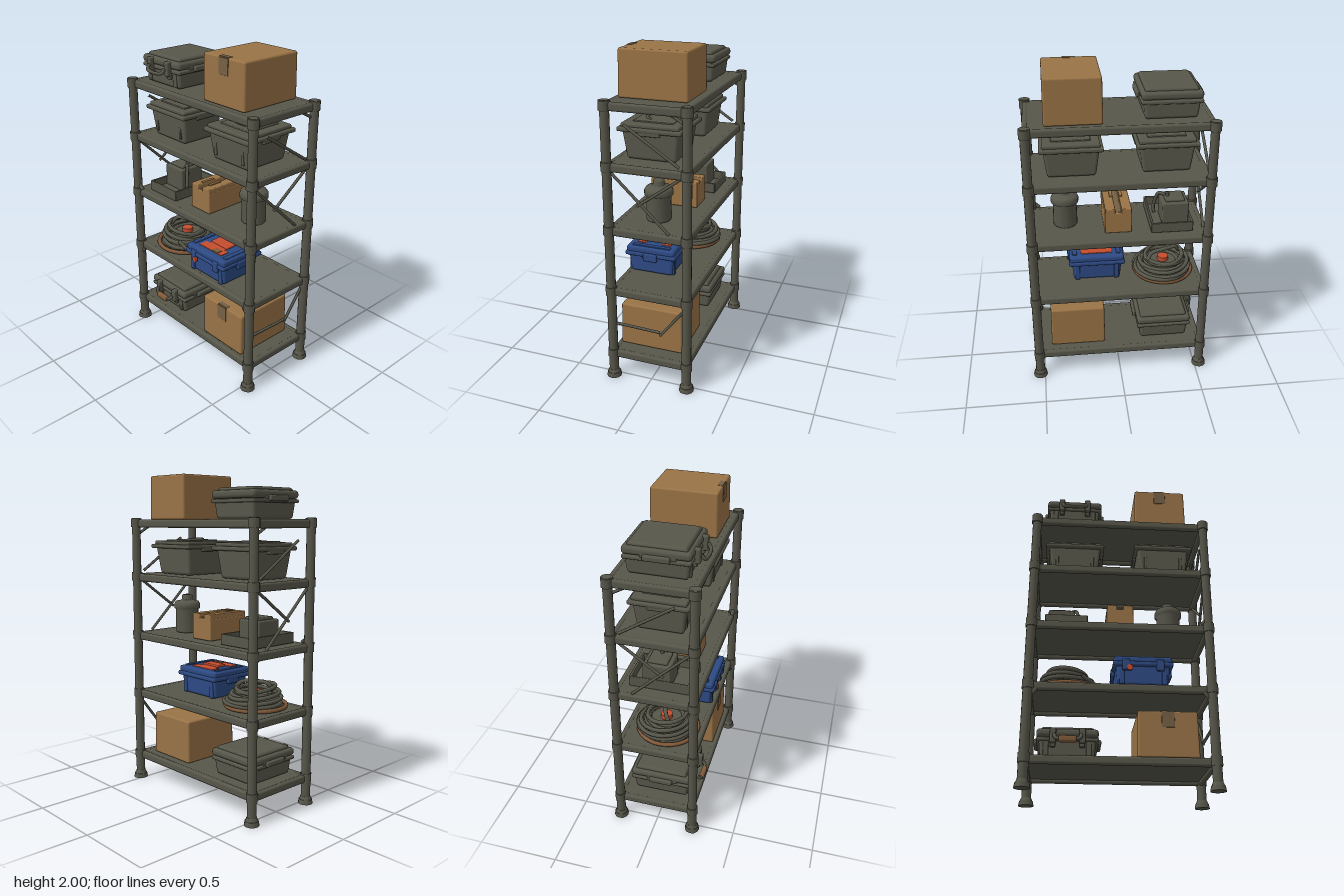
import * as THREE from 'three';
import { RoundedBoxGeometry } from 'three/addons/geometries/RoundedBoxGeometry.js';

const mat = (name, color) => Object.assign(new THREE.MeshStandardMaterial({ color }), { name });

export function createModel() {
  const olive = mat('olive grey', 0x57564a);
  const card = mat('cardboard', 0x997346);
  const tape = mat('packing tape', 0x756044);
  const blue = mat('toolbox blue', 0x2d4a84);
  const orange = mat('orange', 0xc44d2e);
  const brown = mat('brown', 0x80593a);

  const model = new THREE.Group();
  model.name = 'storageRack';

  const group = (name, x, y, z, parent = model) => {
    const g = new THREE.Group();
    g.name = name;
    g.position.set(x, y, z);
    parent.add(g);
    return g;
  };
  const add = (parent, name, geo, material, x = 0, y = 0, z = 0) => {
    const m = new THREE.Mesh(geo, material);
    m.name = name;
    m.position.set(x, y, z);
    parent.add(m);
    return m;
  };
  // Box given by its base height; taper scales the bottom against the top
  const block = (parent, name, material, w, h, d, x, y, z, r = 0.008, taper = 1) => {
    const geo = new RoundedBoxGeometry(w, h, d, 2, Math.min(r, h / 2.1, w / 2.1, d / 2.1));
    const p = geo.attributes.position;
    for (let i = 0; i < p.count; i++) {
      const s = THREE.MathUtils.lerp(taper, 1, p.getY(i) / h + 0.5);
      p.setX(i, p.getX(i) * s);
      p.setZ(i, p.getZ(i) * s);
    }
    return add(parent, name, geo, material, x, y + h / 2, z);
  };
  const drum = (parent, name, material, rTop, rBot, h, x, y, z, n = 16) =>
    add(parent, name, new THREE.CylinderGeometry(rTop, rBot, h, n), material, x, y + h / 2, z);
  const tube = (parent, name, material, r, pts, closed = false) => {
    const curve = new THREE.CatmullRomCurve3(pts.map(p => new THREE.Vector3(...p)), closed, 'centripetal');
    return add(parent, name, new THREE.TubeGeometry(curve, pts.length > 2 ? pts.length * 6 : 1, r, 7, closed), material);
  };

  // Posts, feet and corner sleeves
  const tops = [0.185, 0.61, 1.0, 1.385, 1.73];
  const X = 0.53, Z = 0.237;
  for (const sx of [-1, 1]) for (const sz of [-1, 1]) {
    const post = group('post', sx * X, 0, sz * Z);
    drum(post, 'upright', olive, 0.027, 0.029, 1.74, 0, 0, 0, 12);
    drum(post, 'foot', olive, 0.041, 0.046, 0.028, 0, 0, 0, 12);
    drum(post, 'ankle', olive, 0.03, 0.038, 0.02, 0, 0.028, 0, 12);
    for (const y of tops) drum(post, 'sleeve', olive, 0.034, 0.034, 0.055, 0, y - 0.047, 0, 10);
  }

  // Shelves with rounded rails on all four edges
  for (const y of tops) {
    const shelf = group('shelf', 0, y, 0);
    block(shelf, 'deck', olive, 1.07, 0.026, 0.47, 0, -0.029, 0, 0.004);
    for (const s of [-1, 1]) {
      block(shelf, 'longRail', olive, 1.04, 0.05, 0.034, 0, -0.05, s * 0.228, 0.014);
      block(shelf, 'endRail', olive, 0.034, 0.05, 0.45, s * 0.527, -0.05, 0, 0.014);
    }
  }

  // Thin braces on the ends
  for (const s of [-1, 1]) {
    const braces = group('endBraces', s * 0.525, 0, 0);
    const rods = [
      [[0, 1.33, 0.215], [0, 1.0, -0.13]],
      [[0, 1.35, -0.215], [0, 1.15, 0.06]],
      [[0, 1.61, 0.13], [0, 1.4, -0.19]],
      [[0, 1.7, -0.12], [0, 1.64, -0.225]],
    ];
    if (s > 0) rods.push([[0, 0.37, 0.22], [0, 0.36, -0.07]], [[0, 0.34, -0.07], [0, 0.53, -0.215]]);
    for (const rod of rods) tube(braces, 'brace', olive, 0.009, rod);
    tube(braces, 'gusset', olive, 0.012, [[-s * 0.045, 0.57, 0.237], [0, 0.52, 0.237]]);
    tube(braces, 'gusset', olive, 0.012, [[-s * 0.045, 1.0, 0.237], [0, 1.04, 0.237]]);
  }

  // Latched hard cases on the top and bottom shelves
  const hardCase = (y, grip) => {
    const c = group('hardCase', -0.295, y, 0.01);
    block(c, 'body', olive, 0.325, 0.115, 0.36, 0, 0, 0, 0.02, 0.93);
    block(c, 'lowerRim', olive, 0.35, 0.022, 0.375, 0, 0.092, 0, 0.008);
    block(c, 'lid', olive, 0.35, 0.048, 0.38, 0, 0.116, 0, 0.02);
    block(c, 'lidTop', olive, 0.295, 0.034, 0.32, 0, 0.146, 0, 0.014, 1.07);
    for (const s of [-1, 1]) {
      block(c, 'sideHandle', olive, 0.028, 0.034, 0.15, s * 0.18, 0.1, 0.005, 0.01);
      block(c, 'sideHinge', olive, 0.02, 0.03, 0.2, s * 0.165, 0.11, 0.01, 0.008);
      block(c, 'latch', olive, 0.036, 0.085, 0.04, s * 0.082, 0.075, 0.195, 0.008);
      block(c, 'latchFoot', olive, 0.03, 0.035, 0.025, s * 0.082, 0.055, 0.185, 0.006);
      block(c, 'cornerRib', olive, 0.03, 0.1, 0.02, s * 0.12, 0.01, 0.17, 0.006);
    }
    tube(c, 'carryHandle', olive, 0.011, [[-0.075, 0.12, 0.215], [-0.065, grip, 0.232], [0.065, grip, 0.232], [0.075, 0.12, 0.215]]);
    return c;
  };
  hardCase(1.73, 0.095);
  const lowerCase = hardCase(0.185, 0.095);
  block(lowerCase, 'handleGrip', brown, 0.1, 0.038, 0.032, 0, 0.068, 0.238, 0.012);

  // Large cartons with a strip of tape folded over the front edge
  const carton = (x, y, z, w, h, d) => {
    const c = group('carton', x, y, z);
    block(c, 'cartonBody', card, w, h, d, 0, 0, 0, 0.012, 1.02);
    block(c, 'tapeFront', tape, 0.075, 0.095, 0.006, 0, h - 0.098, d / 2 + 0.001, 0.002);
    block(c, 'tapeTop', tape, 0.075, 0.004, 0.03, 0, h - 0.002, d / 2 - 0.018, 0.001);
  };
  carton(0.26, 1.73, 0, 0.325, 0.27, 0.4);
  carton(0.27, 0.185, 0.02, 0.345, 0.275, 0.39);

  // Lidded storage bins
  const bin = (x, w, d, label) => {
    const b = group('storageBin', x, 1.385, 0.015);
    block(b, 'tub', olive, w - 0.04, 0.185, d - 0.04, 0, 0, 0, 0.02, 0.86);
    block(b, 'rim', olive, w, 0.026, d, 0, 0.165, 0, 0.01);
    block(b, 'lid', olive, w - 0.035, 0.026, d - 0.035, 0, 0.186, 0, 0.01);
    block(b, 'lidPanel', olive, w * 0.62, 0.014, d * 0.62, 0, 0.205, 0, 0.005);
    for (const s of [-1, 1]) {
      block(b, 'rimLip', olive, 0.02, 0.03, 0.13, s * (w / 2 - 0.012), 0.148, 0, 0.006);
      block(b, 'tubRib', olive, 0.02, 0.13, 0.015, s * w * 0.3, 0.03, d / 2 - 0.035, 0.005);
    }
    if (label) block(b, 'lidLabel', brown, 0.09, 0.006, 0.05, 0, 0.217, 0.04, 0.002);
    else tube(b, 'lidHandle', olive, 0.008, [[-0.07, 0.215, 0.02], [-0.04, 0.222, 0.06], [0.04, 0.222, 0.06], [0.07, 0.215, 0.02]]);
  };
  bin(-0.285, 0.37, 0.35, true);
  bin(0.275, 0.37, 0.38, false);

  // Small machine standing in an open tray
  const machine = group('machine', -0.325, 1.0, 0.01);
  block(machine, 'trayFloor', olive, 0.25, 0.012, 0.36, 0, 0, 0, 0.004);
  for (const s of [-1, 1]) {
    block(machine, 'traySide', olive, 0.014, 0.065, 0.36, s * 0.122, 0, 0, 0.005);
    block(machine, 'trayEnd', olive, 0.25, 0.065, 0.014, 0, 0, s * 0.175, 0.005);
  }
  block(machine, 'machineBody', olive, 0.165, 0.145, 0.17, -0.03, 0.01, -0.02, 0.01);
  block(machine, 'machineTop', olive, 0.12, 0.02, 0.12, -0.03, 0.15, -0.02, 0.008);
  drum(machine, 'machineKnob', olive, 0.012, 0.012, 0.025, 0.01, 0.165, -0.02, 10);
  tube(machine, 'machineHose', olive, 0.011, [[0.02, 0.165, 0.0], [0.055, 0.17, 0.02], [0.075, 0.12, 0.04], [0.085, 0.06, 0.05], [0.08, 0.02, 0.05]]);

  // Small carton with a slot between its top flaps
  const small = group('smallCarton', 0.003, 1.0, 0.005);
  block(small, 'smallCartonBody', card, 0.165, 0.135, 0.3, 0, 0, 0, 0.006);
  for (const s of [-1, 1]) {
    block(small, 'flap', card, 0.062, 0.04, 0.3, s * 0.05, 0.122, 0, 0.006);
    block(small, 'flapTab', card, 0.02, 0.012, 0.09, s * 0.03, 0.157, 0.06, 0.003);
  }
  block(small, 'slotTape', tape, 0.032, 0.004, 0.28, 0, 0.1335, 0, 0.001);

  // Jar with a screw lid and spout
  const jar = group('jar', 0.32, 1.0, 0.01);
  const jarProfile = [[0, 0], [0.07, 0], [0.075, 0.01], [0.073, 0.15], [0.085, 0.158], [0.085, 0.185],
    [0.075, 0.202], [0.04, 0.21], [0.035, 0.215], [0.034, 0.24], [0.028, 0.247], [0, 0.248]];
  add(jar, 'jarBody', new THREE.LatheGeometry(jarProfile.map(p => new THREE.Vector2(...p)), 20), olive);

  // Coiled hose: stacked, slightly tilted loops around a hub
  const coil = group('hoseCoil', -0.305, 0.61, 0.01);
  const loops = [[0.185, 0.015, 0, brown], [0.172, 0.036, 0.02, olive], [0.15, 0.02, 0, olive], [0.165, 0.058, -0.04, olive],
    [0.14, 0.07, 0.06, olive], [0.15, 0.084, -0.07, olive], [0.122, 0.1, 0.08, olive], [0.105, 0.08, 0, olive], [0.12, 0.118, -0.1, olive]];
  loops.forEach(([r, y, tilt, m], i) => {
    const t = add(coil, 'hoseLoop', new THREE.TorusGeometry(r, 0.013, 7, 32), m, 0.012 * Math.sin(i * 2), y, 0.01 * Math.cos(i * 3));
    t.rotation.set(Math.PI / 2 + tilt, tilt, 0);
  });
  drum(coil, 'coilCore', olive, 0.095, 0.12, 0.075, 0, 0.005, 0);
  drum(coil, 'coilHub', orange, 0.036, 0.036, 0.03, 0, 0.078, 0, 12);
  tube(coil, 'looseLoop', olive, 0.013, [[-0.11, 0.115, 0.05], [-0.08, 0.158, 0.02], [0.0, 0.16, -0.01], [0.08, 0.148, -0.03], [0.11, 0.11, -0.06]]);
  tube(coil, 'hoseEnd', olive, 0.012, [[0.08, 0.08, 0.14], [0.15, 0.04, 0.12], [0.19, 0.02, 0.06]]);

  // Blue toolbox with orange lid panel, handle and button
  const box = group('toolbox', 0.132, 0.61, 0.08);
  block(box, 'toolboxBody', blue, 0.32, 0.13, 0.29, 0, 0, 0, 0.02, 0.93);
  block(box, 'toolboxRim', blue, 0.355, 0.028, 0.325, 0, 0.115, 0, 0.01);
  block(box, 'toolboxLid', blue, 0.345, 0.042, 0.31, 0, 0.135, 0, 0.015);
  for (const s of [-1, 1]) {
    block(box, 'toolboxLatch', blue, 0.045, 0.07, 0.022, s * 0.1, 0.085, 0.156, 0.007);
    block(box, 'sideLatch', blue, 0.022, 0.05, 0.09, s * 0.172, 0.09, 0, 0.007);
    for (const z of [-1, 1]) block(box, 'cornerRib', blue, 0.03, 0.11, 0.02, s * 0.125, 0.005, z * 0.137, 0.006);
    block(box, 'lidStripe', orange, 0.2, 0.008, 0.06, 0, 0.173, s * 0.08, 0.002);
    block(box, 'lidRidge', blue, 0.03, 0.012, 0.24, s * 0.14, 0.172, 0, 0.005);
  }
  block(box, 'lidPanel', orange, 0.13, 0.008, 0.22, 0, 0.173, 0, 0.002);
  block(box, 'lidHandle', orange, 0.14, 0.016, 0.07, 0, 0.177, 0, 0.006);
  block(box, 'lidTag', brown, 0.05, 0.006, 0.04, 0.04, 0.1785, 0.09, 0.002);
  const button = drum(box, 'button', orange, 0.018, 0.018, 0.014, -0.08, 0.092, 0.166, 12);
  button.rotation.x = Math.PI / 2;

  return model;
}
